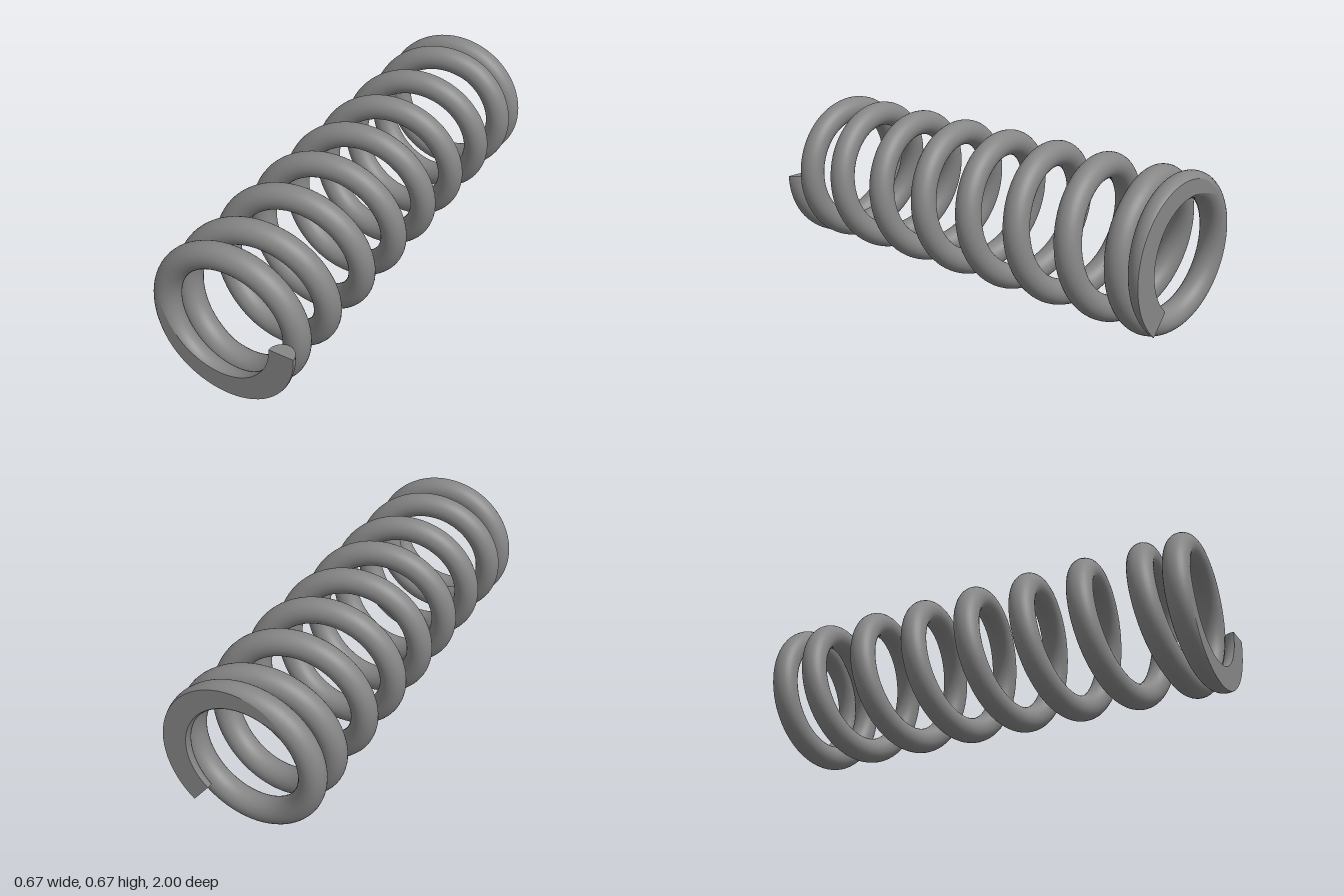
import * as THREE from 'three';

const COIL = 0.2815;   // coil centreline radius
const WIRE = 0.0545;   // wire radius
const TURNS = 9.14;
const PITCH = 0.262;   // open coils
const END_PITCH = 0.11; // closed end coils
const STEPS = 330;     // rings along half the spring
const SIDES = 32;

// Surface through rows of equally many points, with optional given normals
function gridGeometry(rows, normals) {
  const n = rows[0].length, index = [];
  for (let i = 0; i < rows.length - 1; i++) {
    for (let j = 0; j < n - 1; j++) {
      const a = i * n + j, b = a + n;
      index.push(a, b, a + 1, b, b + 1, a + 1);
    }
  }
  const geo = new THREE.BufferGeometry().setFromPoints(rows.flat());
  geo.setIndex(index);
  if (normals) {
    const flat = normals.flat().flatMap((v) => v.toArray());
    geo.setAttribute('normal', new THREE.Float32BufferAttribute(flat, 3));
  } else geo.computeVertexNormals();
  return geo;
}

// Half the spring, from the ground front tip to the middle at z = 0
function halfSpring(material) {
  const rows = [], normals = [], ground = [];
  let lastCut = 1;
  for (let i = 0; i <= STEPS; i++) {
    const t = (i / STEPS) * TURNS / 2;
    const phi = -2 * Math.PI * t;
    const endZ = 1 - END_PITCH * t, openZ = PITCH * (TURNS / 2 - t);
    const z = Math.min(endZ, openZ);
    const slope = Math.atan((endZ < openZ ? END_PITCH : PITCH) / (2 * Math.PI * COIL));
    // The section lies square to the wire: one axis radial, one leaning with the slope
    const radial = new THREE.Vector3(Math.cos(phi), Math.sin(phi), 0);
    const axial = new THREE.Vector3(Math.sin(phi), -Math.cos(phi), 0)
      .multiplyScalar(Math.sin(slope)).setZ(Math.cos(slope));
    // It is a circle cut off by the plane z = 1
    const cut = Math.acos(Math.min(1, (1 - z) / (WIRE * axial.z)));
    const row = [], rowNormals = [];
    for (let j = 0; j <= SIDES; j++) {
      const a = cut + (j / SIDES) * (2 * Math.PI - 2 * cut);
      const normal = radial.clone().multiplyScalar(Math.sin(a)).addScaledVector(axial, Math.cos(a));
      rowNormals.push(normal);
      row.push(radial.clone().multiplyScalar(COIL).setZ(z).addScaledVector(normal, WIRE));
    }
    rows.push(row);
    normals.push(rowNormals);
    // The ground face runs on to the first whole circle, where it ends in a point
    if (lastCut > 0) ground.push([row[SIDES], row[0]]);
    lastCut = cut;
  }

  // Half-disc closing the cut tip of the wire
  const tip = new THREE.BufferGeometry().setFromPoints(rows[0]);
  const fan = [];
  for (let j = 1; j < SIDES; j++) fan.push(0, j, j + 1);
  tip.setIndex(fan);
  tip.computeVertexNormals();

  const half = new THREE.Group();
  const parts = {
    coilWire: gridGeometry(rows, normals),
    groundFace: gridGeometry(ground),
    wireTip: tip,
  };
  for (const [name, geo] of Object.entries(parts)) {
    const mesh = new THREE.Mesh(geo, material);
    mesh.name = name;
    half.add(mesh);
  }
  return half;
}

export function createModel() {
  const material = new THREE.MeshStandardMaterial({ color: 0x868686 });
  const model = new THREE.Group();
  model.name = 'compressionSpring';

  const front = halfSpring(material);
  front.name = 'frontHalf';

  // The back half is the front half turned over about the middle of the wire
  const back = front.clone();
  back.name = 'backHalf';
  const mid = -Math.PI * TURNS;
  back.setRotationFromAxisAngle(new THREE.Vector3(Math.cos(mid), Math.sin(mid), 0), Math.PI);

  front.position.y = back.position.y = COIL + WIRE;
  model.add(front, back);
  return model;
}
